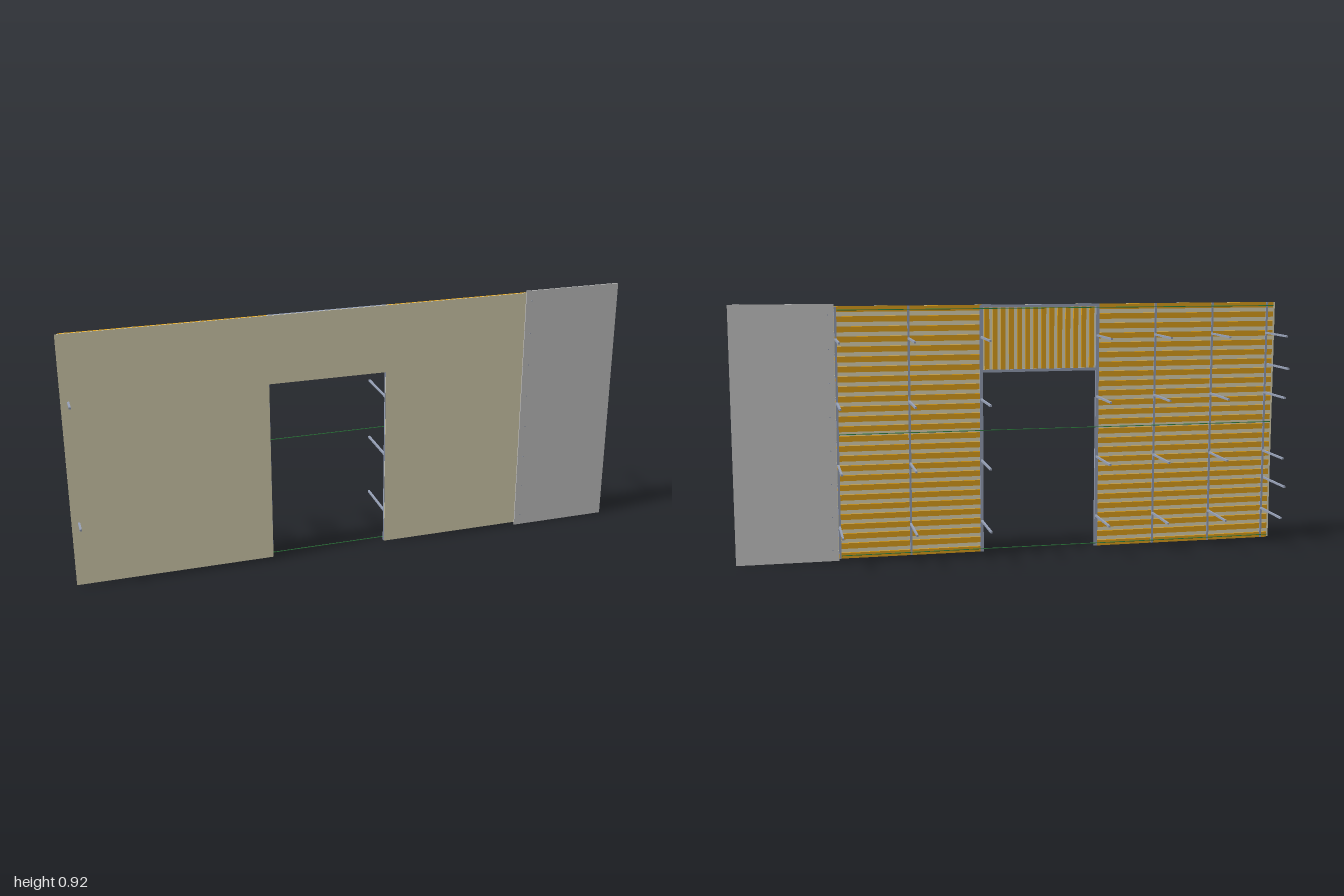
import * as THREE from 'three';

const paint = (color) => new THREE.MeshStandardMaterial({ color });

export function createModel() {
  const model = new THREE.Group();
  const skinMat = paint(0xe0d9b8), panelMat = paint(0xcccccc);
  const slatMat = paint(0xe0a21c), steelMat = paint(0x98a2b8), wireMat = paint(0x2f7f3f);

  const group = (name) => {
    const g = new THREE.Group();
    g.name = name;
    model.add(g);
    return g;
  };
  // Box given by its limits on each axis
  const box = (parent, name, mat, x0, x1, y0, y1, z0, z1) => {
    const mesh = new THREE.Mesh(new THREE.BoxGeometry(x1 - x0, y1 - y0, z1 - z0), mat);
    mesh.position.set((x0 + x1) / 2, (y0 + y1) / 2, (z0 + z1) / 2);
    mesh.name = name;
    parent.add(mesh);
    return mesh;
  };

  const left = -1, right = 0.64, bottom = 0.01, top = 0.91;
  const doorL = -0.305, doorR = 0.115, doorTop = 0.668;

  // Front skin with the doorway cut out
  const outline = new THREE.Shape([
    [left, bottom], [doorL, bottom], [doorL, doorTop], [doorR, doorTop],
    [doorR, bottom], [right, bottom], [right, top], [left, top],
  ].map(([x, y]) => new THREE.Vector2(x, y)));
  const skin = new THREE.Mesh(
    new THREE.ExtrudeGeometry(outline, { depth: 0.002, bevelEnabled: false }), skinMat);
  skin.position.z = 0.069;
  skin.name = 'wallSkin';
  model.add(skin);

  // Plain end panel, slightly proud of the skin
  box(model, 'endPanel', panelMat, 0.638, 1, 0, 0.918, 0.07, 0.075);

  // Horizontal slats either side of the doorway
  const slats = group('horizontalSlats');
  const count = 26, slatH = 0.02;
  for (const [x0, x1] of [[-0.99, doorL - 0.002], [doorR + 0.002, right - 0.001]]) {
    for (let i = 0; i < count; i++) {
      const y = bottom + i * (top - bottom - slatH) / (count - 1);
      box(slats, 'slat', slatMat, x0, x1, y, y + slatH, 0.061, 0.069);
    }
  }

  // Vertical slats above the doorway
  const lintelSlats = group('lintelSlats');
  for (let i = 0; i < 14; i++) {
    const x = doorL + 0.008 + i * 0.0298;
    box(lintelSlats, 'slat', slatMat, x, x + 0.017, doorTop + 0.008, top - 0.008, 0.061, 0.069);
  }

  // Steel studs and the tie bars standing out behind them
  const studs = group('studs'), bars = group('tieBars');
  const half = 0.0035;
  const bar = (x, y, zFront) =>
    box(bars, 'tieBar', steelMat, x - half, x + half, y - half, y + half, -0.125, zFront);
  for (const x of [-0.965, -0.75, -0.53, -0.31, 0.12, 0.38, 0.635]) {
    const w = x === -0.31 || x === 0.12 ? 0.006 : 0.004;
    box(studs, 'stud', steelMat, x - w, x + w, bottom, top, 0.059, 0.0685);
    for (const y of [0.125, 0.348, 0.571, 0.795]) bar(x, y, 0.062);
  }
  // Two bars that pass right through the wall
  for (const y of [0.242, 0.677]) bar(-0.975, y, 0.127);

  // Frame of the lintel
  const lintel = group('lintelFrame');
  for (const y of [doorTop, top - 0.01]) {
    box(lintel, 'rail', steelMat, doorL, doorR, y, y + 0.01, 0.059, 0.069);
  }

  // Thin setting-out lines along the back
  const lines = group('guideLines');
  for (const y of [0.021, 0.459, 0.897]) {
    const line = new THREE.Mesh(new THREE.CylinderGeometry(0.0015, 0.0015, right - left - 0.02, 6), wireMat);
    line.rotation.z = Math.PI / 2;
    line.position.set((left + right) / 2, y, 0.0575);
    line.name = 'guideLine';
    lines.add(line);
  }

  // Small screws along the edge of the end panel
  const screws = group('screws');
  for (let i = 0; i < 8; i++) {
    const screw = new THREE.Mesh(new THREE.CylinderGeometry(0.002, 0.002, 0.007, 8), steelMat);
    screw.rotation.x = Math.PI / 2;
    screw.position.set(0.66, 0.04 + i * 0.12, 0.0725);
    screw.name = 'screw';
    screws.add(screw);
  }

  return model;
}
